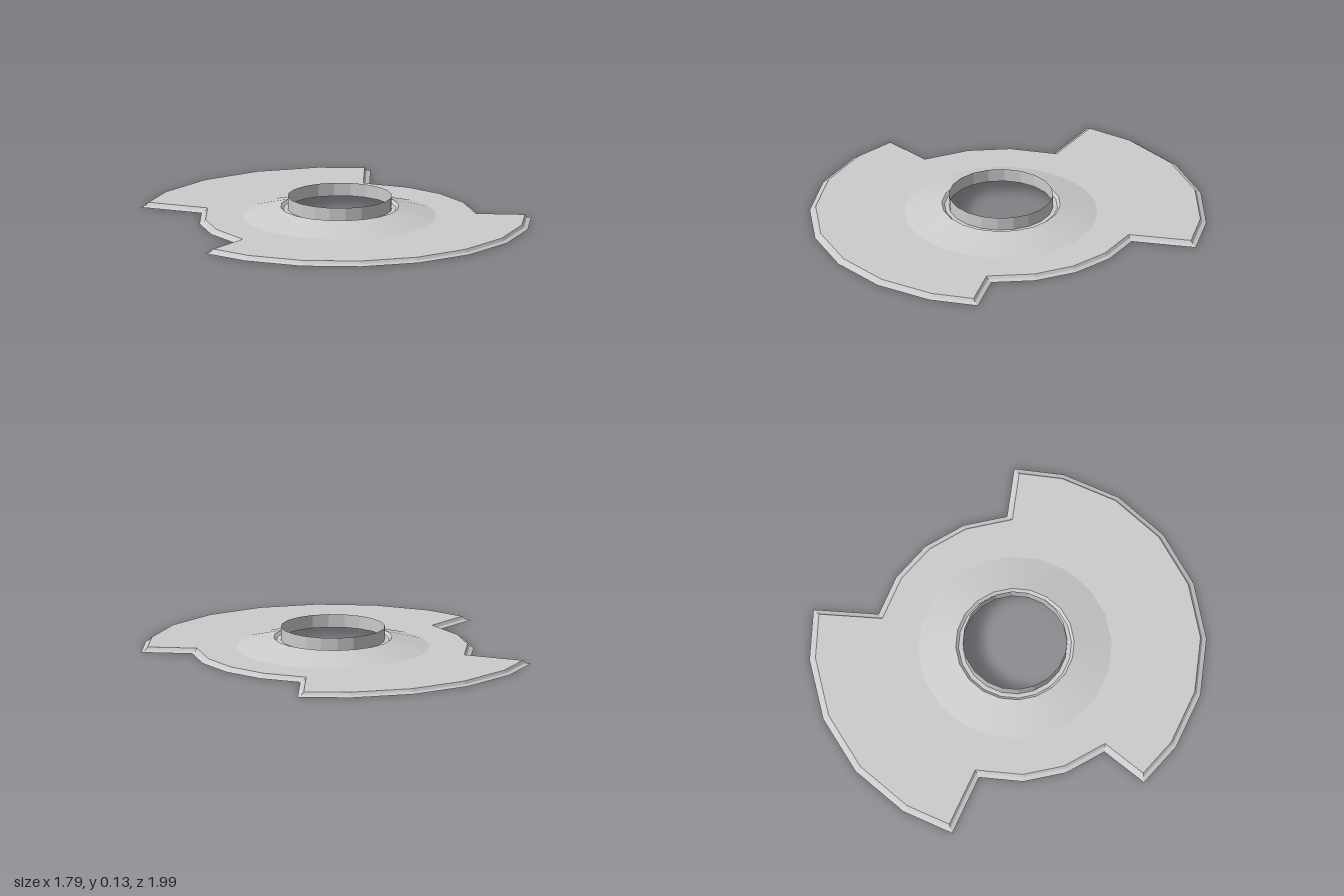
import * as THREE from 'three';

const HUB_Z = 0.034;
const SIDES = 20;

// Outline as arcs of constant radius: [radius, angles in degrees from the back, clockwise from above]
const ARCS = [
  [1.03, [-51, -36, -18, 0, 18, 33]],
  [0.707, [36.5, 54, 72, 90, 108]],
  [0.96, [111, 126, 144, 162, 180, 198, 216, 234, 249]],
  [0.707, [252, 270, 288, 306]],
];

const polar = (r, deg) => {
  const a = THREE.MathUtils.degToRad(deg);
  return new THREE.Vector2(r * Math.sin(a), -r * Math.cos(a)); // (x, z)
};

// Moves every edge of the outline inward by t, with mitred corners
function inset(points, t) {
  const n = points.length;
  const normal = (a, b) => {
    const d = b.clone().sub(a).normalize();
    return new THREE.Vector2(-d.y, d.x);
  };
  return points.map((p, i) => {
    const n1 = normal(points[(i + n - 1) % n], p);
    const n2 = normal(p, points[(i + 1) % n]);
    return p.clone().addScaledVector(n1.clone().add(n2), t / (1 + n1.dot(n2)));
  });
}

// Closed band between two loops at different heights
function band(outer, y0, inner, y1) {
  const pos = [];
  const n = outer.length;
  for (let i = 0; i < n; i++) {
    const j = (i + 1) % n;
    const a = [outer[i].x, y0, outer[i].y], b = [outer[j].x, y0, outer[j].y];
    const c = [inner[i].x, y1, inner[i].y], d = [inner[j].x, y1, inner[j].y];
    pos.push(...a, ...c, ...b, ...b, ...c, ...d);
  }
  const g = new THREE.BufferGeometry();
  g.setAttribute('position', new THREE.Float32BufferAttribute(pos, 3));
  g.computeVertexNormals();
  return g;
}

export function createModel() {
  const model = new THREE.Group();
  model.name = 'bladedDisc';
  const hub = new THREE.Group();
  hub.name = 'disc';
  hub.position.z = HUB_Z;
  model.add(hub);

  const smooth = new THREE.MeshStandardMaterial({ color: 0xcccccc, side: THREE.DoubleSide });
  const flat = new THREE.MeshStandardMaterial({ color: 0xcccccc, side: THREE.DoubleSide, flatShading: true });
  const add = (name, geometry, material) => {
    const mesh = new THREE.Mesh(geometry, material);
    mesh.name = name;
    hub.add(mesh);
  };
  const lathe = (...pts) =>
    new THREE.LatheGeometry(pts.map(([r, y]) => new THREE.Vector2(r, y)), SIDES);

  // Stepped rim following the notched outline
  const outline = ARCS.flatMap(([r, angles]) => angles.map((a) => polar(r, a)));
  const lipEdge = inset(outline, 0.02);
  const plateEdge = inset(outline, 0.03);
  add('rimLip', band(outline, 0, lipEdge, 0.008), flat);
  add('rimStep', band(lipEdge, 0.008, plateEdge, 0.022), flat);

  // Flat plate with an opening for the raised centre
  const toShape = (p) => new THREE.Vector2(p.x, -p.y);
  const shape = new THREE.Shape(plateEdge.map(toShape));
  const opening = Array.from({ length: SIDES }, (_, i) => toShape(polar(0.485, i * 360 / SIDES)));
  shape.holes.push(new THREE.Path(opening));
  const plate = new THREE.ShapeGeometry(shape).rotateX(-Math.PI / 2).translate(0, 0.022, 0);
  add('plate', plate, flat);

  // Raised cone, recessed ledge and upright collar
  add('cone', lathe([0.485, 0.022], [0.297, 0.072]), smooth);
  add('ledgeStep', lathe([0.297, 0.072], [0.283, 0.06]), flat);
  add('ledge', lathe([0.283, 0.06], [0.261, 0.06]), flat);
  add('collar', lathe([0.261, 0.06], [0.261, 0.127]), flat);

  return model;
}
